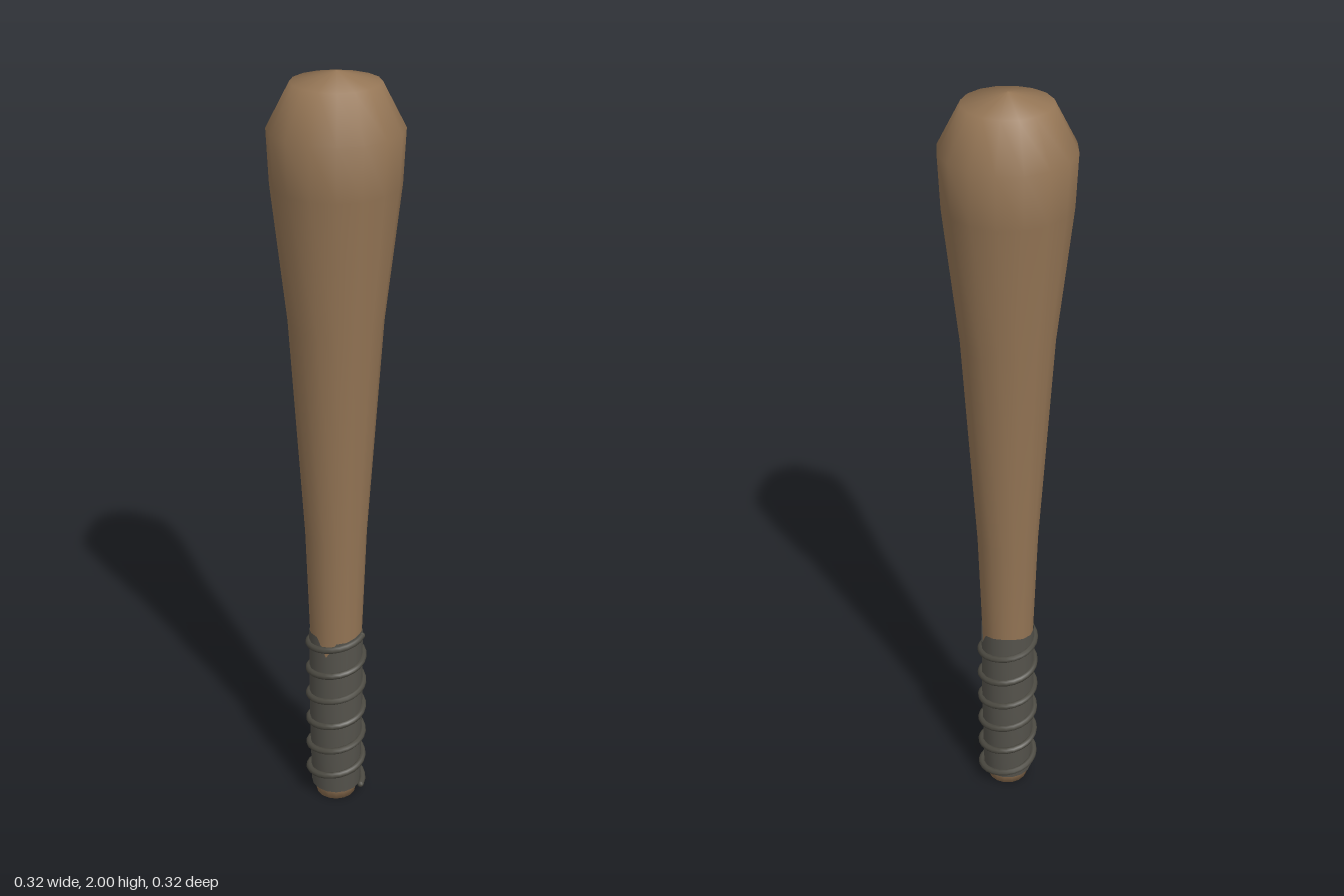
import * as THREE from 'three';

const SIDES = 16;

export function createModel() {
  const wood = new THREE.MeshStandardMaterial({ color: 0x947555 });
  wood.name = 'wood';
  const gripGrey = new THREE.MeshStandardMaterial({ color: 0x55534c, side: THREE.DoubleSide });
  gripGrey.name = 'grip grey';
  const cordGrey = new THREE.MeshStandardMaterial({ color: 0x4b4941 });
  cordGrey.name = 'cord grey';

  const group = new THREE.Group();
  group.name = 'bat';
  const add = (name, geometry, material) => {
    const mesh = new THREE.Mesh(geometry, material);
    mesh.name = name;
    group.add(mesh);
  };

  // Wooden body: narrow handle swelling to a blunt rounded head
  const profile = [
    [0, 0], [0.054, 0], [0.058, 0.03], [0.064, 0.07], [0.066, 0.45], [0.069, 0.53],
    [0.079, 0.82], [0.116, 1.4], [0.154, 1.74], [0.16, 1.87], [0.105, 1.975], [0, 2],
  ].map(([r, y]) => new THREE.Vector2(r, y));
  add('body', new THREE.LatheGeometry(profile, SIDES), wood);

  // Grip sleeve with an uneven upper edge, dipping at two places
  const bottom = 0.03, top = 0.525;
  const sleeve = new THREE.LatheGeometry([
    new THREE.Vector2(0.054, bottom), new THREE.Vector2(0.067, bottom + 0.002),
    new THREE.Vector2(0.071, 0.28), new THREE.Vector2(0.071, top),
  ], SIDES);
  const pos = sleeve.attributes.position;
  for (let i = 0; i < pos.count; i++) {
    if (pos.getY(i) < top - 0.001) continue;
    const a = Math.atan2(pos.getX(i), pos.getZ(i));
    const dip = Math.abs(a) < 0.1 || Math.abs(a - 2.356) < 0.1;
    pos.setY(i, dip ? 0.475 : top - 0.005 * Math.sin(3 * a));
  }
  add('gripSleeve', sleeve, gripGrey);

  // Cord spiralling six times round the grip, starting and ending on the left
  class Helix extends THREE.Curve {
    getPoint(t, target = new THREE.Vector3()) {
      const a = Math.PI / 2 + t * Math.PI * 12;
      return target.set(Math.sin(a) * 0.073, 0.03 + 0.49 * t, Math.cos(a) * 0.073);
    }
  }
  const helix = new Helix();
  add('gripCord', new THREE.TubeGeometry(helix, 144, 0.009, 8), cordGrey);

  // Cord ends
  for (const t of [0, 1]) {
    const cap = new THREE.SphereGeometry(0.009, 8, 6);
    cap.translate(...helix.getPoint(t).toArray());
    add('cordEnd', cap, cordGrey);
  }

  return group;
}
